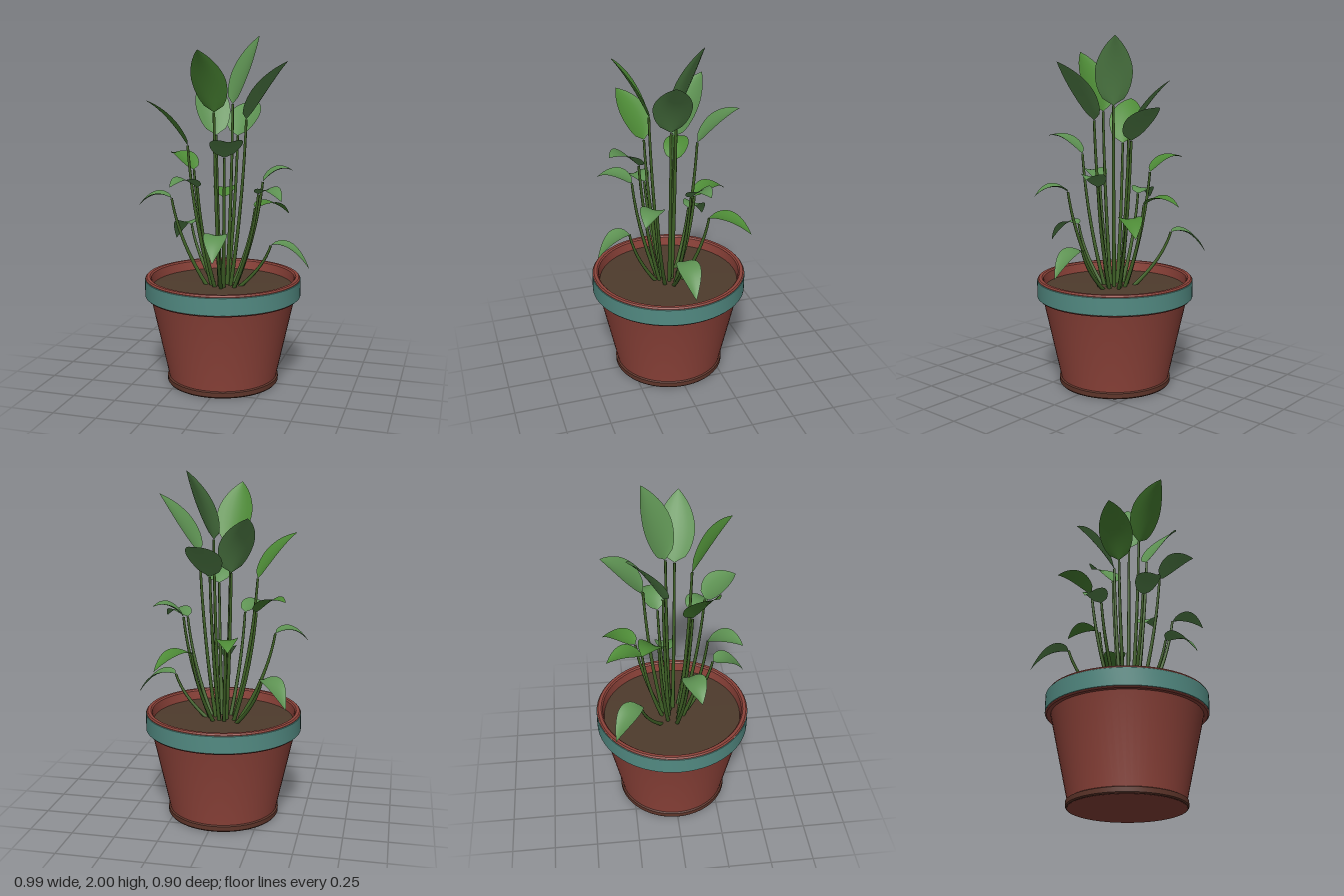
import * as THREE from 'three';
import { toCreasedNormals } from 'three/addons/utils/BufferGeometryUtils.js';

const CX = -0.02; // pot axis
const mat = (name, color, side = THREE.FrontSide) => {
  const m = new THREE.MeshStandardMaterial({ color, side });
  m.name = name;
  return m;
};

// Surface of revolution with sharp edges kept
function lathe(name, points, material) {
  const g = new THREE.LatheGeometry(points.map(([r, y]) => new THREE.Vector2(r, y)), 64);
  const mesh = new THREE.Mesh(toCreasedNormals(g, 0.5), material);
  mesh.name = name;
  mesh.position.x = CX;
  return mesh;
}

// Outline: rounded at the stalk, pointed at the tip
const outline = (t) => t < 0.4
  ? Math.sqrt(Math.max(0, 1 - (1 - t / 0.4) ** 2))
  : 1 - ((t - 0.4) / 0.6) ** 1.7;

// Arched, slightly cupped blade swept along its midrib; higher blades are wider and straighter
function bladeGeometry(base, tip) {
  const width = 0.13 + 0.08 * THREE.MathUtils.smoothstep(base.y, 1.1, 1.5);
  const mid = base.clone().lerp(tip, 0.5);
  mid.y += 0.11 - 0.08 * (base.y - 0.8);
  const rib = new THREE.QuadraticBezierCurve3(base, mid, tip);
  const side = new THREE.Vector3(base.z - tip.z, 0, tip.x - base.x).normalize();
  const g = new THREE.PlaneGeometry(2, 1, 6, 14);
  const p = g.attributes.position;
  for (let i = 0; i < p.count; i++) {
    const u = p.getX(i);
    const t = THREE.MathUtils.clamp(p.getY(i) + 0.5, 0, 1);
    const half = outline(t) * width / 2;
    const up = side.clone().cross(rib.getTangent(t));
    const q = rib.getPoint(t)
      .addScaledVector(side, u * half)
      .addScaledVector(up, 0.2 * half * u * u);
    p.setXYZ(i, q.x, q.y, q.z);
  }
  g.computeVertexNormals();
  return g;
}

// Stalk that leaves the soil near the centre and straightens upward
function stalkGeometry(end) {
  const out = new THREE.Vector3(end.x - CX, 0, end.z);
  const r = out.length();
  out.normalize();
  const at = (radius, y) => new THREE.Vector3(CX + out.x * radius, y, out.z * radius);
  const r0 = 0.01 + 0.25 * r, y0 = 0.55;
  const curve = new THREE.QuadraticBezierCurve3(
    at(r0, y0), at(r0 + 0.8 * (r - r0), y0 + 0.5 * (end.y - y0)), end);
  const segments = 14, sides = 7;
  const g = new THREE.TubeGeometry(curve, segments, 0.012, sides);
  // taper towards the leaf
  const p = g.attributes.position;
  for (let i = 0; i < p.count; i++) {
    const t = Math.floor(i / (sides + 1)) / segments;
    const c = curve.getPointAt(t);
    const q = new THREE.Vector3().fromBufferAttribute(p, i).sub(c).multiplyScalar(1 - 0.4 * t).add(c);
    p.setXYZ(i, q.x, q.y, q.z);
  }
  return g;
}

// Where each blade joins its stalk, and its tip
const SOFT_LEAVES = [
  [[0.03, 1.62, -0.03], [0.155, 2.0, -0.145]],
  [[0.125, 1.54, 0.03], [0.37, 1.86, 0.08]],
  [[-0.075, 1.44, -0.055], [-0.2, 1.76, -0.255]],
  [[0.025, 1.43, -0.155], [0.075, 1.62, -0.38]],
  [[0.045, 1.34, 0.19], [0.13, 1.44, 0.375]],
  [[0.2, 1.18, -0.06], [0.365, 1.24, -0.12]],
  [[-0.11, 1.17, 0.19], [-0.21, 1.19, 0.37]],
  [[0.225, 1.14, 0.14], [0.38, 1.12, 0.25]],
  [[-0.31, 1.08, 0.06], [-0.495, 1.035, 0.11]],
  [[0.02, 0.915, 0.245], [0.05, 0.8, 0.44]],
  [[-0.28, 0.88, -0.21], [-0.43, 0.755, -0.355]],
  [[0.265, 0.825, 0], [0.49, 0.7, 0]],
];
const FRESH_LEAVES = [
  [[-0.04, 1.58, 0.105], [-0.07, 1.92, 0.305]],
  [[-0.2, 1.39, 0.09], [-0.41, 1.645, 0.195]],
  [[-0.225, 1.23, -0.095], [-0.4, 1.31, -0.2]],
  [[-0.065, 1.06, -0.175], [-0.12, 1.06, -0.38]],
  [[0.12, 1.0, -0.2], [0.285, 0.94, -0.395]],
];

export function createModel() {
  const model = new THREE.Group();
  model.name = 'pottedPlant';
  const terracotta = mat('terracotta', 0x8c4239);
  const teal = mat('teal glaze', 0x528a82);
  const foot = mat('dark clay', 0x5e352a);
  const earth = mat('soil', 0x4e3b2c);
  const stalk = mat('stalk green', 0x3f6126);
  const soft = mat('soft green', 0x5d9152, THREE.DoubleSide);
  const fresh = mat('fresh green', 0x4d8a36, THREE.DoubleSide);

  // Pot wall with overhanging rim and open inside
  model.add(lathe('pot', [
    [0, 0], [0.315, 0], [0.315, 0.03], [0.42, 0.51], [0.442, 0.51], [0.449, 0.518],
    [0.449, 0.622], [0.442, 0.63], [0.424, 0.63], [0.416, 0.622], [0.405, 0.55],
  ], terracotta));
  model.add(lathe('rimBand', [[0.448, 0.518], [0.452, 0.52], [0.452, 0.616], [0.448, 0.619]], teal));
  model.add(lathe('footRing', [
    [0.314, 0.001], [0.321, 0.001], [0.326, 0.008], [0.326, 0.034], [0.315, 0.04],
  ], foot));
  model.add(lathe('soil', [[0.412, 0.57], [0.25, 0.573], [0, 0.575]], earth));

  // Stalks and leaf blades
  const addLeaves = (leaves, green) => {
    for (const ends of leaves) {
      const [base, tip] = ends.map((e) => new THREE.Vector3(...e));
      const leaf = new THREE.Group();
      leaf.name = 'leaf';
      const stem = new THREE.Mesh(stalkGeometry(base), stalk);
      stem.name = 'stalk';
      const blade = new THREE.Mesh(bladeGeometry(base, tip), green);
      blade.name = 'blade';
      leaf.add(stem, blade);
      model.add(leaf);
    }
  };
  addLeaves(SOFT_LEAVES, soft);
  addLeaves(FRESH_LEAVES, fresh);
  return model;
}
